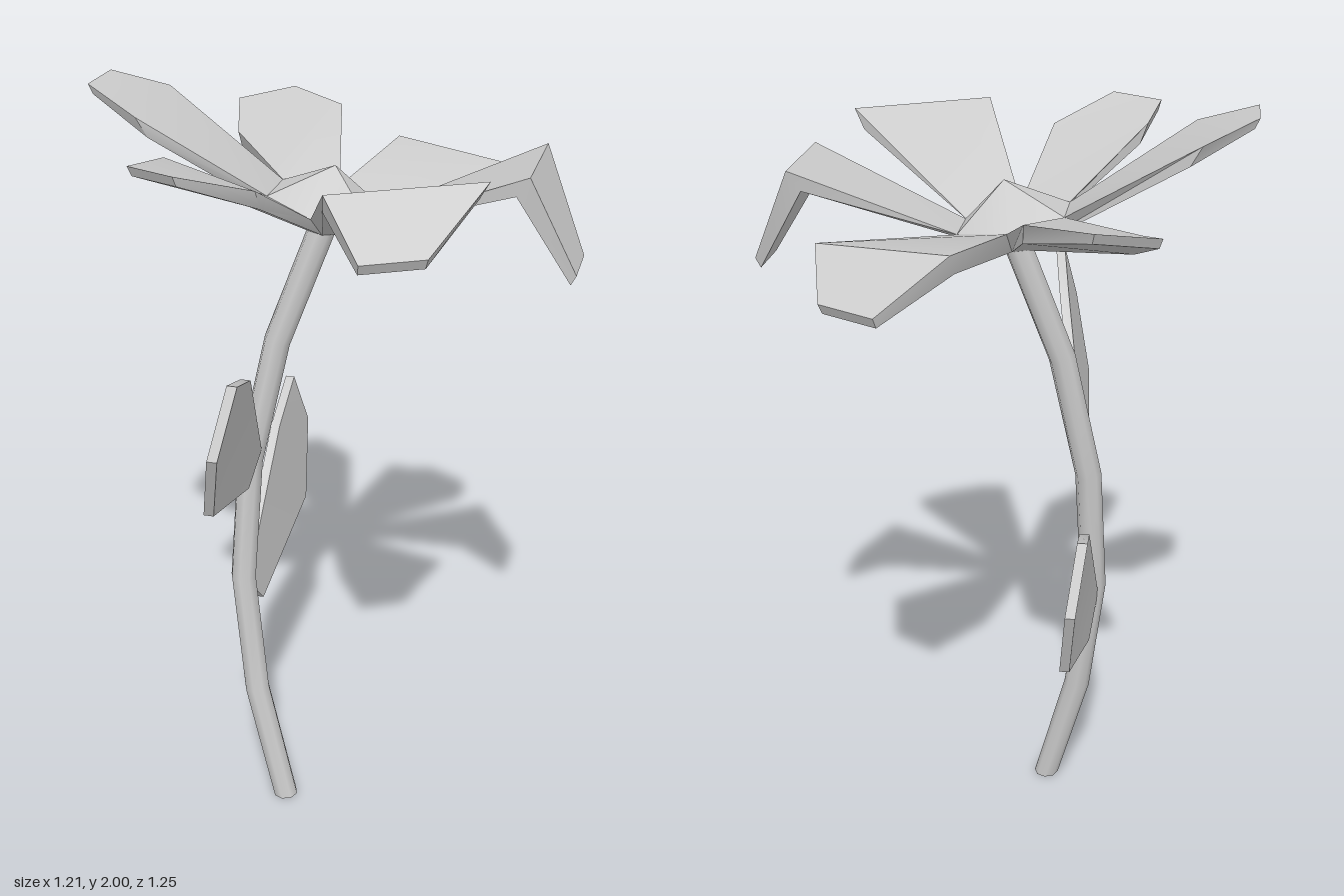
import * as THREE from 'three';
import { toCreasedNormals } from 'three/addons/utils/BufferGeometryUtils.js';

const material = new THREE.MeshStandardMaterial({ color: 0xcccccc });
const CENTRE = [-0.03, 1.65, -0.04]; // where the stem meets the flower

function addMesh(group, name, geometry) {
  const mesh = new THREE.Mesh(geometry, material);
  mesh.name = name;
  group.add(mesh);
}

function fromTriangles(points, index) {
  const g = new THREE.BufferGeometry();
  g.setAttribute('position', new THREE.Float32BufferAttribute(points.flat(), 3));
  g.setIndex(index);
  return toCreasedNormals(g, 0.6);
}

// Closed blade from two six-point outlines: base, shoulder, tip, tip, shoulder, base
function blade(top, bottom) {
  const cap = [0, 5, 4, 0, 4, 1, 1, 4, 3, 1, 3, 2];
  const index = [...cap];
  for (let i = 0; i < cap.length; i += 3) index.push(cap[i] + 6, cap[i + 2] + 6, cap[i + 1] + 6);
  for (let a = 0; a < 6; a++) {
    const b = (a + 1) % 6;
    index.push(a, b, b + 6, a, b + 6, a + 6);
  }
  return fromTriangles([...top, ...bottom], index);
}

// Moves a point toward the flower axis by a fraction, and down
const inset = ([x, y, z], f, drop) =>
  [x + (CENTRE[0] - x) * f, y - drop, z + (CENTRE[2] - z) * f];

export function createModel() {
  const flower = new THREE.Group();
  flower.name = 'flower';

  // Bent stem
  const path = new THREE.CatmullRomCurve3([
    [-0.112, 0, 0.116], [-0.2, 0.34, 0.087], [-0.24, 0.68, 0.056],
    [-0.222, 1.02, 0.025], [-0.15, 1.36, -0.008], [-0.03, 1.68, -0.037],
  ].map((p) => new THREE.Vector3(...p)));
  const stem = new THREE.TubeGeometry(path, 5, 0.035, 8);
  for (let i = 0; i < 9; i++) stem.attributes.position.setY(i, 0);
  addMesh(flower, 'stem', stem);
  const end = new THREE.CircleGeometry(0.035, 8).rotateX(Math.PI / 2);
  addMesh(flower, 'stemEnd', end.translate(-0.112, 0, 0.116));

  // Slightly tilted six-sided rim shared by the heart and the petals
  const rim = [[0.1, -0.11], [0.1, 0.03], [-0.03, 0.1], [-0.16, 0.03], [-0.16, -0.11], [-0.03, -0.18]]
    .map(([x, z]) => [x, 1.725 - 0.2 * (x + 0.03), z]);

  // Raised flower heart
  const heart = [];
  for (let k = 0; k < 6; k++) heart.push(6, (k + 1) % 6, k);
  addMesh(flower, 'heart', fromTriangles([...rim, [-0.005, 1.82, -0.04]], heart));

  // Petals: shoulder, tip, tip, shoulder
  const petals = {
    leftPetal: [[0.49, 1.865, -0.205], [0.606, 1.62, -0.11], [0.606, 1.62, 0.04], [0.49, 1.865, 0.09]],
    frontLeftPetal: [[0.43, 1.91, 0.285], [0.335, 1.79, 0.48], [0.2, 1.79, 0.555], [0.1, 1.91, 0.47]],
    frontRightPetal: [[-0.085, 1.87, 0.36], [-0.23, 1.93, 0.49], [-0.36, 1.925, 0.425], [-0.335, 1.9, 0.26]],
    rightPetal: [[-0.46, 1.945, 0.11], [-0.606, 2, 0.04], [-0.606, 2, -0.11], [-0.48, 1.95, -0.19]],
    backRightPetal: [[-0.36, 1.79, -0.37], [-0.41, 1.835, -0.54], [-0.27, 1.86, -0.61], [-0.11, 1.845, -0.51]],
    backLeftPetal: [[0.05, 1.77, -0.51], [0.2, 1.66, -0.63], [0.34, 1.66, -0.55], [0.38, 1.75, -0.39]],
  };
  Object.entries(petals).forEach(([name, [s0, t0, t1, s1]], k) => {
    const i0 = rim[k], i1 = rim[(k + 1) % 6];
    const under = (p) => [...inset(p, 0.75, 0)].map((v, axis) => (axis === 1 ? CENTRE[1] : v));
    addMesh(flower, name, blade(
      [i0, s0, t0, t1, s1, i1],
      [under(i0), inset(s0, 0.06, 0.05), inset(t0, 0.02, 0.025),
        inset(t1, 0.02, 0.025), inset(s1, 0.06, 0.05), under(i1)],
    ));
  });

  // Leaves: outline, and thickness along x
  const leaf = (name, outline, dx) =>
    addMesh(flower, name, blade(outline, outline.map(([x, y, z]) => [x + dx, y, z])));
  leaf('frontLeaf', [
    [-0.21, 1.06, 0.04], [-0.13, 1.41, 0.365], [-0.1, 1.48, 0.555],
    [-0.13, 1.32, 0.625], [-0.18, 1.12, 0.52], [-0.215, 0.995, 0.14],
  ], 0.025);
  leaf('backLeaf', [
    [-0.23, 0.65, 0.05], [-0.225, 0.985, -0.26], [-0.235, 1.055, -0.445],
    [-0.215, 0.89, -0.52], [-0.195, 0.68, -0.42], [-0.215, 0.55, -0.04],
  ], -0.025);

  return flower;
}
